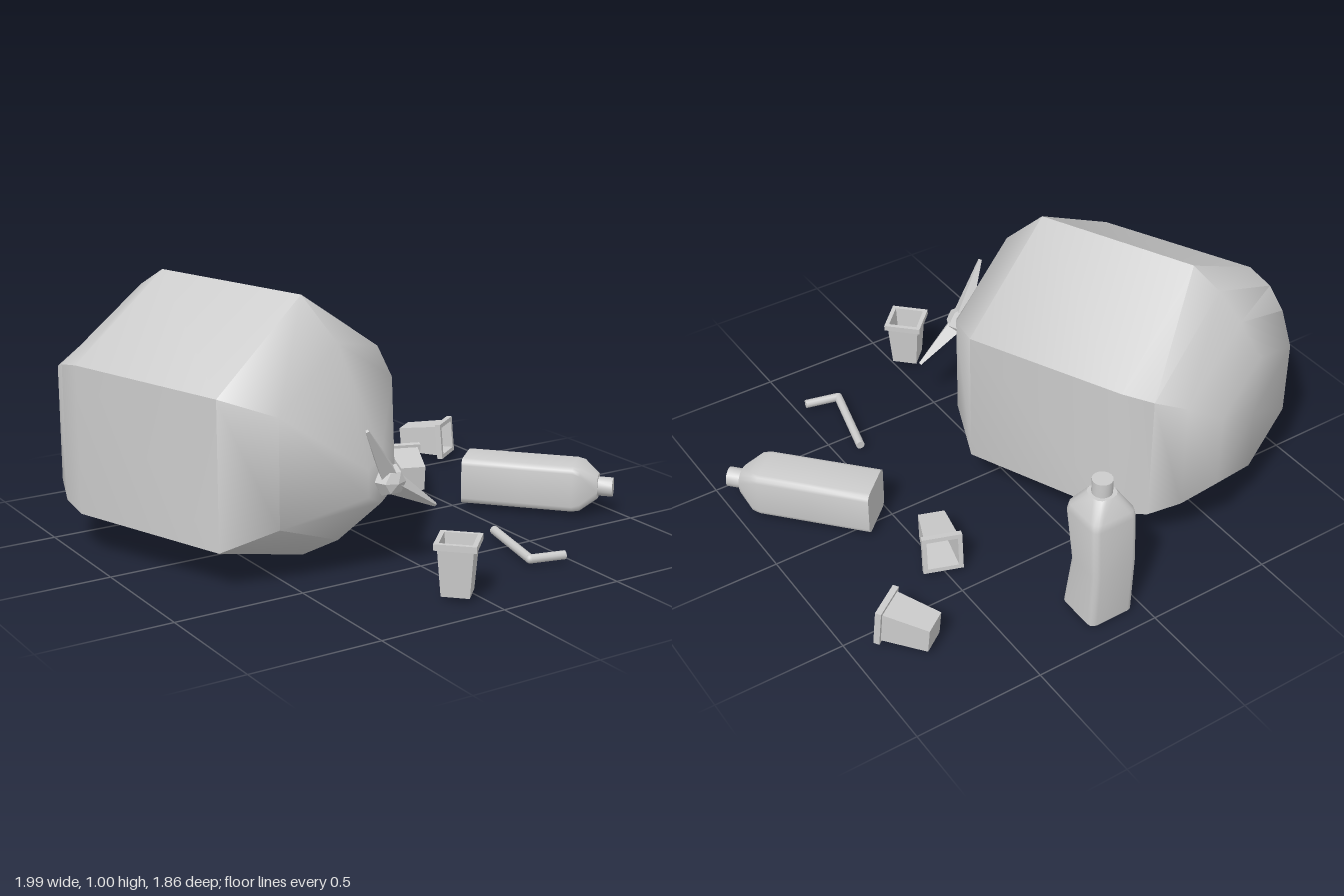
import * as THREE from 'three';
import { toCreasedNormals } from 'three/addons/utils/BufferGeometryUtils.js';

const V = (x, y, z) => new THREE.Vector3(x, y, z);
const smooth = new THREE.MeshStandardMaterial({ color: 0xcccccc });
const faceted = new THREE.MeshStandardMaterial({ color: 0xcccccc, flatShading: true, side: THREE.DoubleSide });

function mesh(name, geometry, material = smooth) {
  const m = new THREE.Mesh(geometry, material);
  m.name = name;
  return m;
}

// Skin between closed rings of points, with fan caps at both ends
function loft(rings, crease) {
  const n = rings[0].length, pts = rings.flat(), index = [];
  const last = (rings.length - 1) * n;
  const mean = r => r.reduce((s, p) => s.add(p), V(0, 0, 0)).divideScalar(n);
  pts.push(mean(rings[0]), mean(rings[rings.length - 1]));
  for (let j = 0; j < n; j++) {
    const k = (j + 1) % n;
    for (let i = 0; i < last; i += n) index.push(i + j, i + k, i + n + k, i + j, i + n + k, i + n + j);
    index.push(last + n, k, j, last + n + 1, last + j, last + k);
  }
  const g = new THREE.BufferGeometry().setFromPoints(pts);
  g.setIndex(index);
  return toCreasedNormals(g, crease);
}

// Aim an object's own +y from one point toward another
function aim(object, from, to) {
  const y = to.clone().sub(from).normalize();
  const x = y.clone().cross(V(0, 1, 0)).normalize();
  object.quaternion.setFromRotationMatrix(new THREE.Matrix4().makeBasis(x, y, x.clone().cross(y)));
  object.position.copy(from);
  return object;
}

// Solid rod or spike between two points
function rod(name, a, b, r0, r1, sides, material) {
  const length = a.distanceTo(b);
  const g = new THREE.CylinderGeometry(r1, r0, length, sides).translate(0, length / 2, 0);
  return aim(mesh(name, g, material), a, b);
}

// Full bag: six-sided sections along its length
function bag() {
  const group = new THREE.Group();
  group.name = 'bag';
  // [along, half width, top, upper side, lower side, bottom]
  const sections = [
    [-0.905, 0.265, 0.71, 0.6, 0.3, 0.2],
    [-0.815, 0.365, 0.83, 0.67, 0.23, 0.1],
    [-0.72, 0.44, 0.93, 0.705, 0.185, 0.05],
    [-0.61, 0.483, 1.0, 0.725, 0.165, 0.02],
    [0.04, 0.483, 0.98, 0.7, 0.147, 0],
    [0.2, 0.345, 0.825, 0.63, 0.225, 0.09],
    [0.39, 0.08, 0.45, 0.41, 0.31, 0.27],
  ];
  const body = mesh('bagBody', loft(sections.map(([u, w, top, up, lo, bottom]) => [
    V(w, lo, u), V(w, up, u), V(0, top, u), V(-w, up, u), V(-w, lo, u), V(0, bottom, u),
  ]), 0.9));
  body.rotation.y = 0.39;
  body.position.set(-0.315, 0, 0.13);

  // Knot and the two pointed ends of the tie
  const knot = mesh('knot', new THREE.SphereGeometry(0.062, 6, 4), faceted);
  knot.position.set(-0.145, 0.355, 0.505);
  knot.rotation.x = Math.PI / 2;
  group.add(body, knot,
    rod('tieEndUpper', V(-0.14, 0.36, 0.505), V(-0.28, 0.57, 0.57), 0.045, 0.008, 4, faceted),
    rod('tieEndLower', V(-0.14, 0.35, 0.515), V(0.06, 0.225, 0.5), 0.045, 0.008, 4, faceted));
  return group;
}

// Rounded rectangle ring at height y
function roundedRing(hx, hz, r, y, shift = 0) {
  const ring = [];
  for (let c = 0; c < 4; c++) {
    const sx = c === 0 || c === 3 ? 1 : -1, sz = c < 2 ? 1 : -1;
    for (let i = 0; i < 4; i++) {
      const a = (c + i / 3 * 0.999) * Math.PI / 2;
      const x = sx * (hx - r) + r * Math.cos(a), z = sz * (hz - r) + r * Math.sin(a);
      ring.push(V(x, y, -z + shift));
    }
  }
  return ring;
}

// Bottle with optional dented waist
function bottle(name, dent) {
  const group = new THREE.Group();
  group.name = name;
  const w = 0.0925;
  const body = loft([
    roundedRing(w, w, 0.025, 0),
    roundedRing(w, w - dent * 0.6, 0.025, 0.24, -dent),
    roundedRing(w, w, 0.025, 0.44),
    roundedRing(w - 0.004, w - 0.004, 0.03, 0.47),
    roundedRing(0.048, 0.048, 0.035, 0.533),
  ], 0.8);
  const cap = mesh('bottleCap', toCreasedNormals(new THREE.CylinderGeometry(0.038, 0.038, 0.07, 16), 0.8));
  cap.position.y = 0.555;
  group.add(mesh('bottleBody', body), cap);
  return group;
}

// Hollow square cup with a thick rim
function cup(name) {
  const profile = [[0, 0], [0.072, 0], [0.09, 0.175], [0.107, 0.175], [0.107, 0.198],
    [0.083, 0.198], [0.064, 0.015], [0, 0.015]].map(p => new THREE.Vector2(...p));
  return mesh(name, new THREE.LatheGeometry(profile, 4), faceted);
}

function lyingCup(name, from, to) {
  const group = new THREE.Group();
  group.name = name;
  const c = cup('cupBody');
  c.rotation.y = Math.PI / 4;
  group.add(c);
  return aim(group, from, to);
}

// Bent straw
function straw() {
  const group = new THREE.Group();
  group.name = 'straw';
  const bend = V(0.33, 0.03, 0.718), r = 0.017;
  const joint = mesh('strawBend', new THREE.SphereGeometry(r, 10, 8));
  joint.position.copy(bend);
  group.add(joint,
    rod('strawLong', bend, V(0.41, 0.03, 0.395), r, r, 10),
    rod('strawShort', bend, V(0.465, 0.03, 0.75), r, r, 10));
  return group;
}

export function createModel() {
  const model = new THREE.Group();
  model.name = 'rubbish';

  const standingBottle = bottle('standingBottle', 0.025);
  standingBottle.position.set(0.137, 0.015, -0.835);
  const fallenBottle = aim(bottle('fallenBottle', 0), V(0.572, 0.112, -0.012), V(0.965, 0.112, 0.42));

  const standingCup = cup('standingCup');
  standingCup.position.set(-0.067, 0.017, 0.82);

  model.add(bag(), standingBottle, fallenBottle, standingCup, straw(),
    lyingCup('fallenCupNear', V(0.44, 0.068, -0.195), V(0.515, 0.093, -0.405)),
    lyingCup('fallenCupFar', V(0.735, 0.08, -0.69), V(0.85, 0.098, -0.525)));
  return model;
}
